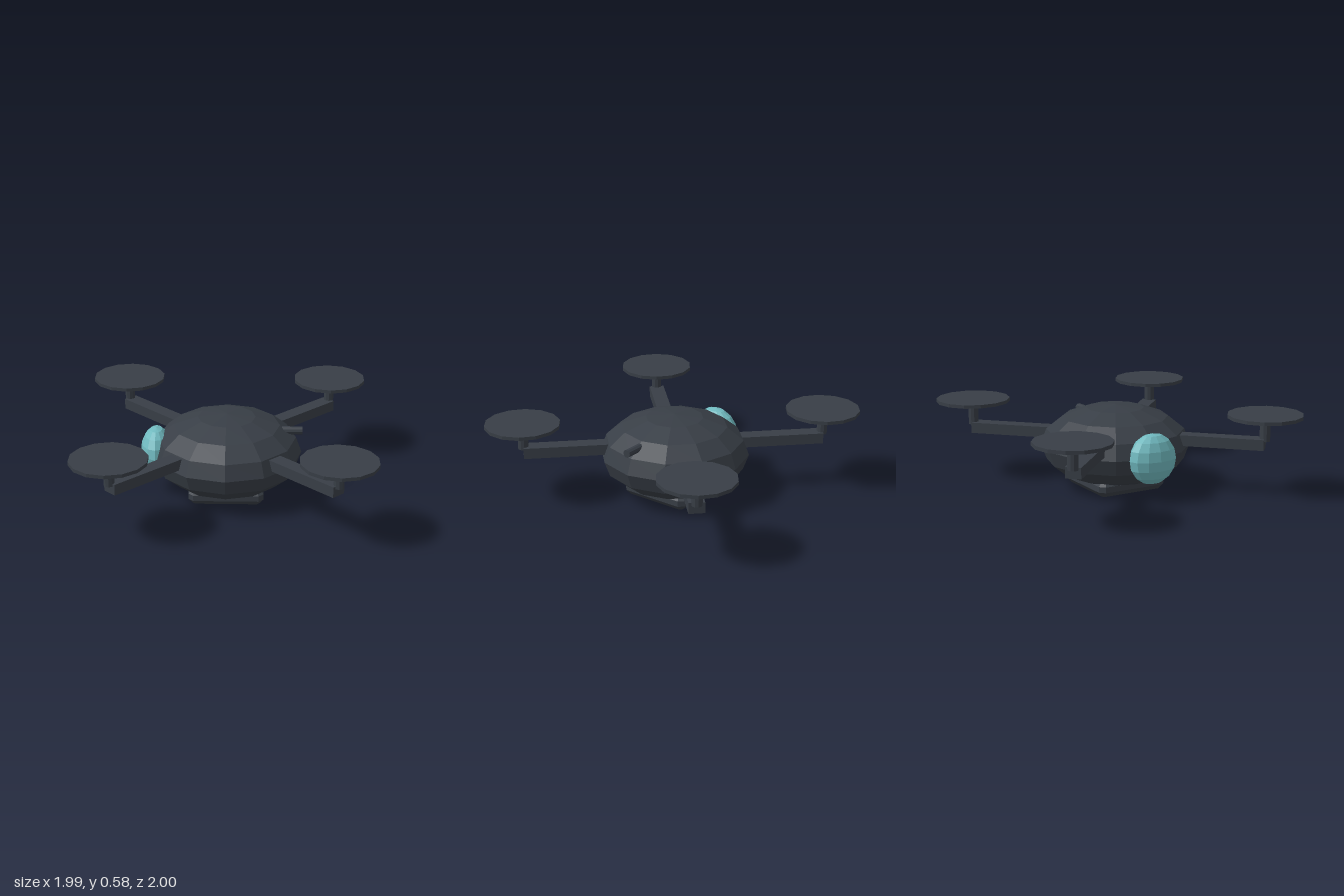
import * as THREE from 'three';

export function createModel() {
  const shell = new THREE.MeshStandardMaterial({ color: 0x383e46, flatShading: true });
  shell.name = 'dark shell';
  const glass = new THREE.MeshStandardMaterial({ color: 0x70b9bf, flatShading: true });
  glass.name = 'teal lens';

  const model = new THREE.Group();
  model.name = 'drone';
  const add = (parent, name, geometry, material, x, y, z) => {
    const mesh = new THREE.Mesh(geometry, material);
    mesh.name = name;
    mesh.position.set(x, y, z);
    parent.add(mesh);
    return mesh;
  };

  // Faceted body and side lens
  add(model, 'body', new THREE.SphereGeometry(1, 12, 8).scale(0.52, 0.28, 0.52), shell, 0, 0.302, 0);
  add(model, 'lens', new THREE.SphereGeometry(1, 12, 8).scale(0.11, 0.175, 0.175), glass, -0.49, 0.3, 0);

  // Barrel on the side opposite the lens
  add(model, 'barrel', new THREE.CylinderGeometry(0.028, 0.028, 0.22, 10).rotateZ(Math.PI / 2), shell, 0.415, 0.461, 0);

  // Bevelled base plate with cut corners
  const a = 0.23, c = 0.212;
  const outline = new THREE.Shape([
    [a, -c], [a, c], [c, a], [-c, a], [-a, c], [-a, -c], [-c, -a], [c, -a],
  ].map(([x, y]) => new THREE.Vector2(x, y)));
  const plate = new THREE.ExtrudeGeometry(outline, {
    depth: 0.04, bevelEnabled: true, bevelThickness: 0.035, bevelSize: 0.03, bevelSegments: 1,
  }).rotateX(-Math.PI / 2);
  add(model, 'base', plate, shell, 0, 0.035, 0);

  // Four diagonal arms, each with a post and a rotor disc
  const tip = 0.74, inner = 0.3, outer = tip * Math.SQRT2;
  for (const sx of [1, -1]) {
    for (const sz of [1, -1]) {
      const unit = new THREE.Group();
      unit.name = `${sz > 0 ? 'front' : 'back'}${sx > 0 ? 'Left' : 'Right'}Rotor`;
      const mid = (inner + outer) / 2 / Math.SQRT2;
      const arm = add(unit, 'arm', new THREE.BoxGeometry(outer - inner, 0.075, 0.106), shell, sx * mid, 0.362, sz * mid);
      arm.rotation.y = -Math.atan2(sz, sx);
      add(unit, 'post', new THREE.CylinderGeometry(0.036, 0.036, 0.16, 10), shell, sx * tip, 0.462, sz * tip);
      add(unit, 'rotorDisc', new THREE.CylinderGeometry(0.26, 0.26, 0.024, 14), shell, sx * tip, 0.558, sz * tip);
      model.add(unit);
    }
  }
  return model;
}
